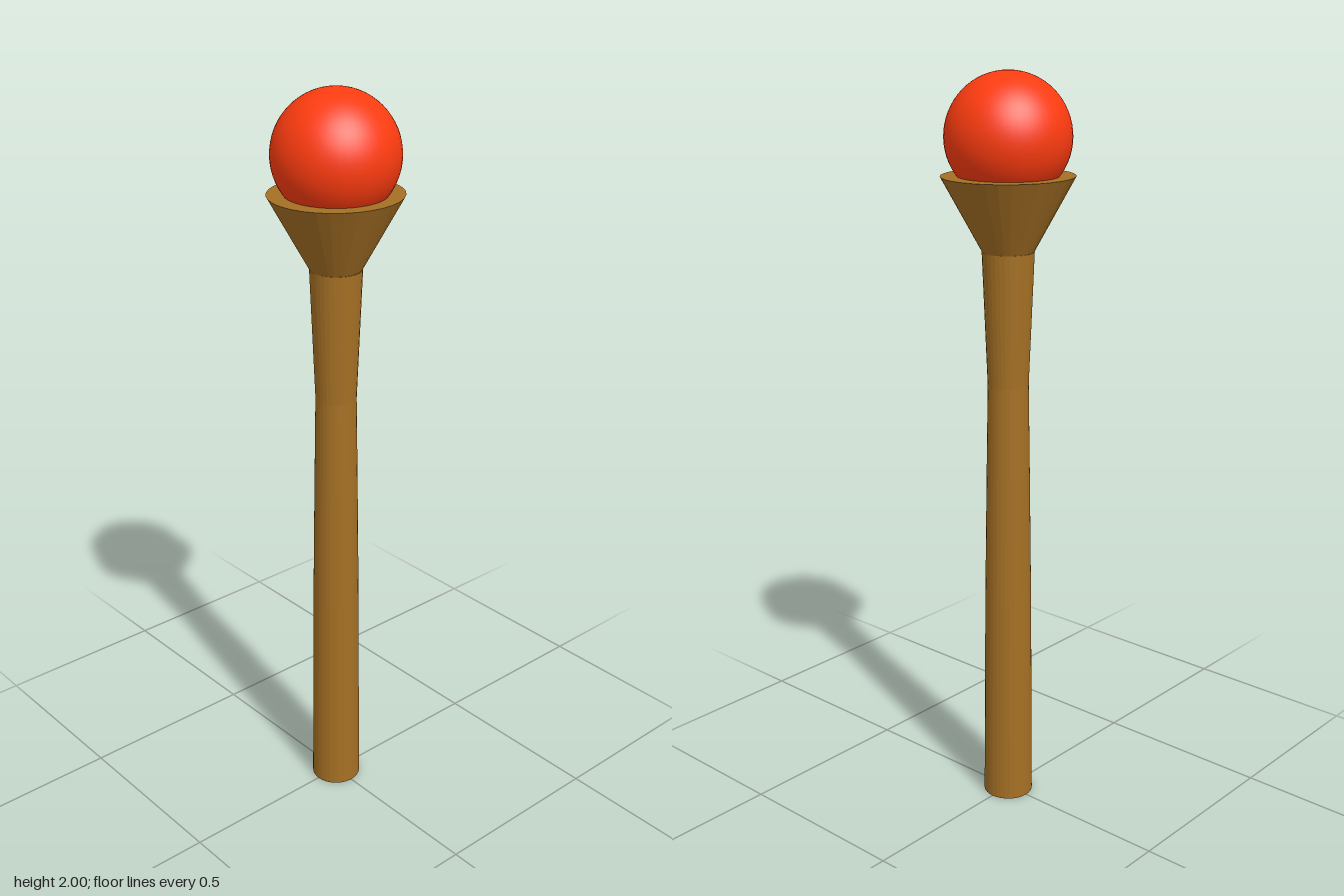
import * as THREE from 'three';

export function createModel() {
  const model = new THREE.Group();
  const wood = new THREE.MeshStandardMaterial({ color: 0xa57024, flatShading: true });
  const red = new THREE.MeshStandardMaterial({ color: 0xff3c10 });

  // Closed turned part from [radius, height] pairs
  function turned(name, profile) {
    const points = profile.map(([r, y]) => new THREE.Vector2(r, y));
    const mesh = new THREE.Mesh(new THREE.LatheGeometry(points, 32), wood);
    mesh.name = name;
    model.add(mesh);
    return mesh;
  }

  // Slim shaft, narrowest near the upper third
  turned('shaft', [[0, 0], [0.068, 0], [0.063, 0.6], [0.058, 0.95], [0.054, 1.2], [0.068, 1.55], [0, 1.55]]);

  // Flared cup with a flat top, slightly narrower front to back
  turned('cup', [[0, 1.55], [0.068, 1.55], [0.175, 1.742], [0, 1.742]]).scale.z = 0.97;

  // Ball seated in the cup
  const ball = new THREE.Mesh(new THREE.SphereGeometry(0.162, 48, 32), red);
  ball.name = 'ball';
  ball.position.y = 1.838;
  model.add(ball);

  return model;
}
